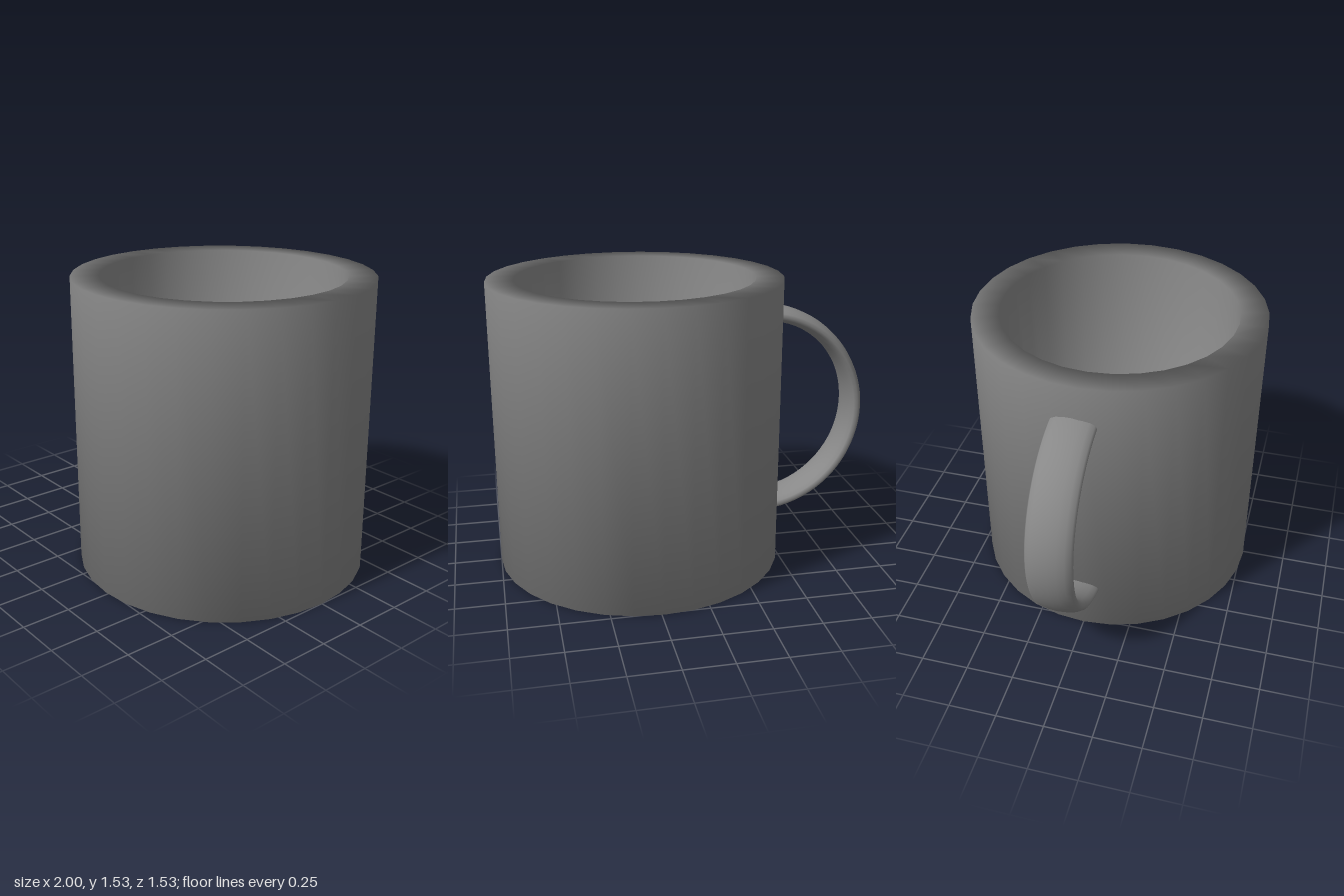
import * as THREE from 'three';

const SIDES = 32, OUTER = 0.765, INNER = 0.62, HEIGHT = 1.535, FLOOR = 0.145;

// Hollow cup: one smooth lathe, with its discs laid out as flat strips without a centre point
function cupGeometry() {
  const profile = [[0, 0], [OUTER, 0], [OUTER, HEIGHT], [INNER, HEIGHT], [INNER, FLOOR], [0, FLOOR]]
    .map(([r, y]) => new THREE.Vector2(r, y));
  const geometry = new THREE.LatheGeometry(profile, SIDES);
  const count = profile.length;
  const isPole = (v) => v % count === 0 || v % count === count - 1;

  // Keep only the wall and rim triangles
  const old = geometry.index.array;
  const index = [];
  for (let t = 0; t < old.length; t += 3) {
    const face = [old[t], old[t + 1], old[t + 2]];
    if (!face.some(isPole)) index.push(...face);
  }

  // Fill the underside and the inner floor with zigzag strips
  const addDisc = (row, faceUp) => {
    const at = (i) => ((i + SIDES) % SIDES) * count + row;
    const tri = (a, b, c) => index.push(...(faceUp ? [at(a), at(b), at(c)] : [at(a), at(c), at(b)]));
    for (let i = 0; i < SIDES / 2; i++) {
      if (i < SIDES / 2 - 1) tri(i, i + 1, -i - 1);
      if (i > 0) tri(i, -i - 1, -i);
    }
  };
  addDisc(1, false);
  addDisc(4, true);
  geometry.setIndex(index);
  return geometry;
}

// Handle: half ring, widened sideways into a flat oval section
function handleGeometry() {
  const tube = 0.0425, halfWidth = 0.12;
  const geometry = new THREE.TorusGeometry(0.541, tube, 16, 40, Math.PI);
  geometry.rotateZ(Math.PI / 2);
  geometry.scale(1, 1, halfWidth / tube);
  return geometry;
}

export function createModel() {
  const model = new THREE.Group();
  model.name = 'mug';
  const grey = new THREE.MeshStandardMaterial({ color: 0x888888 });
  grey.name = 'grey ceramic';

  const add = (name, geometry, x, y, z) => {
    const mesh = new THREE.Mesh(geometry, grey);
    mesh.name = name;
    mesh.position.set(x, y, z);
    model.add(mesh);
  };
  add('cup', cupGeometry(), 0.235, 0, 0);
  add('handle', handleGeometry(), -0.416, 0.787, -0.035);
  return model;
}
